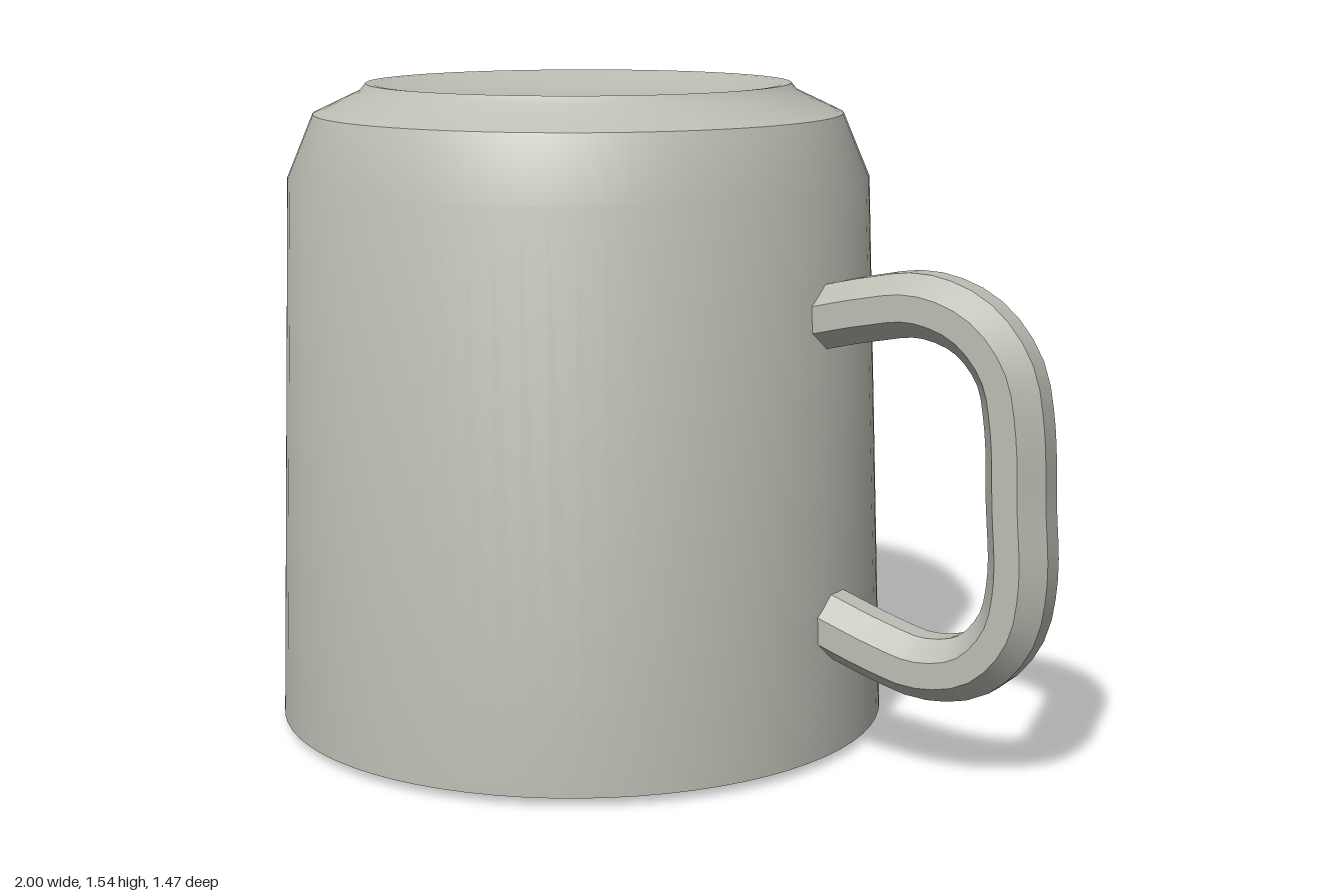
import * as THREE from 'three';
import { toCreasedNormals } from 'three/addons/utils/BufferGeometryUtils.js';

const AXIS_X = -0.265;
const CREASE = Math.PI / 6;

// Sweeps a flat [across, z] cross-section along a curve lying in the xy plane, with end caps.
function sweep(curve, section, steps) {
  const positions = [], indices = [], n = section.length;
  for (let i = 0; i <= steps; i++) {
    const p = curve.getPointAt(i / steps), t = curve.getTangentAt(i / steps);
    for (const [across, z] of section) {
      positions.push(p.x - t.y * across, p.y + t.x * across, z);
    }
  }
  for (let i = 0; i < steps; i++) {
    for (let j = 0; j < n; j++) {
      const a = i * n + j, b = i * n + (j + 1) % n;
      indices.push(a, b, a + n, b, b + n, a + n);
    }
  }
  const last = steps * n;
  for (let j = 1; j < n - 1; j++) {
    indices.push(0, j + 1, j, last, last + j, last + j + 1);
  }
  const geometry = new THREE.BufferGeometry();
  geometry.setAttribute('position', new THREE.Float32BufferAttribute(positions, 3));
  geometry.setIndex(indices);
  return toCreasedNormals(geometry, CREASE);
}

export function createModel() {
  const group = new THREE.Group();
  group.name = 'upturnedMug';
  const ceramic = new THREE.MeshStandardMaterial({ color: 0xbcbdb3 });
  ceramic.name = 'warm grey ceramic';

  // Body, open side down: inner floor, inner wall, rim, outer wall, foot ring, recess
  const profile = [
    [0, 1.44], [0.55, 1.43], [0.6, 1.39], [0.635, 1.29], [0.677, 0],
    [0.737, 0.02], [0.693, 1.325], [0.63, 1.475], [0.52, 1.527],
    [0.505, 1.545], [0.485, 1.543], [0.375, 1.515], [0, 1.515],
  ].map(([r, y]) => new THREE.Vector2(r, y));
  const body = new THREE.Mesh(
    toCreasedNormals(new THREE.LatheGeometry(profile, 72), CREASE), ceramic);
  body.name = 'body';
  body.position.x = AXIS_X;
  group.add(body);

  // Handle: eight-sided bar along a rounded loop, its ends buried in the wall
  const path = new THREE.CatmullRomCurve3([
    [0.41, 1.037], [0.55, 1.07], [0.68, 1.088], [0.8, 1.05], [0.88, 0.96],
    [0.908, 0.84], [0.917, 0.67], [0.925, 0.5], [0.9, 0.38], [0.82, 0.29],
    [0.7, 0.262], [0.59, 0.283], [0.43, 0.332],
  ].map(([x, y]) => new THREE.Vector3(x, y, 0)));
  const section = [
    [0.072, -0.028], [0.072, 0.028], [0.03, 0.083], [-0.03, 0.083],
    [-0.072, 0.028], [-0.072, -0.028], [-0.03, -0.083], [0.03, -0.083],
  ];
  const handle = new THREE.Mesh(sweep(path, section, 40), ceramic);
  handle.name = 'handle';
  group.add(handle);

  return group;
}
